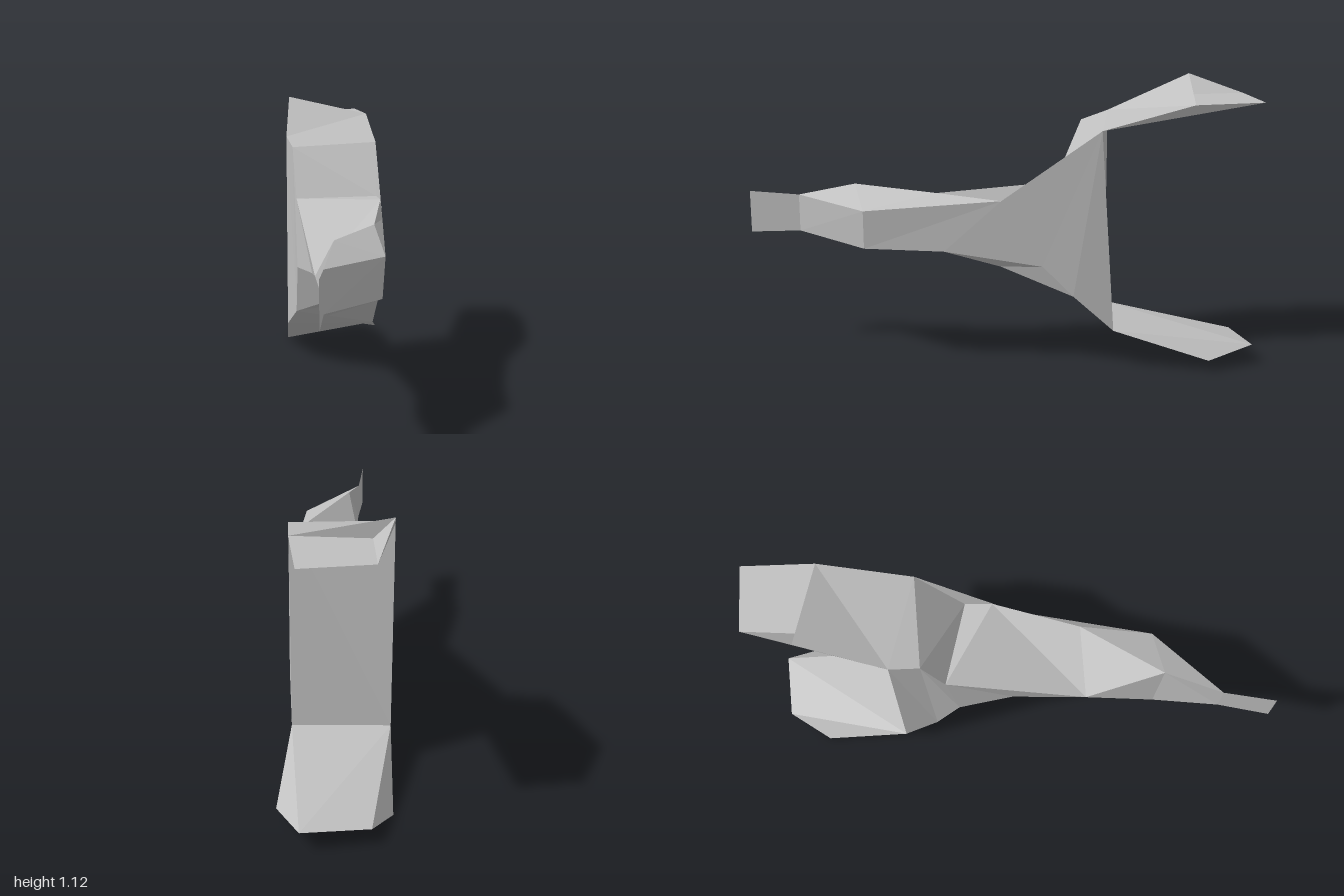
import * as THREE from 'three';

// Named corners of the faceted form: upper case = upper, lower case = lower; L = -x side, R = +x side
const P = {
  // back panel corners
  CL: [-.215, .97, -.45], CR: [.157, .95, -.38], cl: [-.215, .155, -.455], cr: [.155, .155, -.44],
  // -x side, back to front
  L0: [-.195, .935, -.34], L1: [-.185, .73, -.26], L2: [-.15, .515, .28], L3: [-.105, .7, .57],
  l0: [-.185, .24, -.32], l1: [-.185, .45, -.22], l2: [-.14, .467, -.01], l3: [-.125, .43, .55],
  // +x side, back to front; V is the raised lip beside the notch R1
  R1: [.138, .745, -.2], V: [.142, .745, -.095], R2: [.075, .7, .245], S1: [.138, .68, 0], S3: [.08, .632, .53],
  r0: [.16, .3, -.28], r1: [.15, .42, -.16], r2: [.11, .475, .22], r3: [.07, .48, .53], k: [.105, .41, 0],
  // front blade
  T: [-.16, .645, .8], t: [-.16, .495, .8], N: [-.19, .655, 1], n: [-.19, .485, 1],
  // upper fin
  ML: [-.185, 1.12, -.77], MR: [.157, 1.045, -.73], G: [-.115, 1.045, -.76],
  EL: [-.115, 1.05, -.975], ER: [.137, 1.05, -1],
  // lower fin
  ml: [-.2, 0, -.8], mr: [.213, .045, -.81], el: [-.113, .064, -.965], er: [.135, .08, -1],
};

const grey = new THREE.MeshStandardMaterial({ color: 0xc0c0c0, flatShading: true, side: THREE.DoubleSide });
grey.name = 'plain grey';

// Flat facets from space-separated corner names, each facet fanned from its first corner
function facets(name, list) {
  const pos = [];
  for (const face of list) {
    const c = face.split(' ').map((id) => P[id]);
    for (let i = 1; i < c.length - 1; i++) pos.push(...c[0], ...c[i], ...c[i + 1]);
  }
  const geo = new THREE.BufferGeometry();
  geo.setAttribute('position', new THREE.Float32BufferAttribute(pos, 3));
  geo.computeVertexNormals();
  const mesh = new THREE.Mesh(geo, grey);
  mesh.name = name;
  return mesh;
}

export function createModel() {
  const model = new THREE.Group();
  model.name = 'facetedTail';
  model.add(
    facets('backPanel', ['CR cr cl CL']),
    facets('topSurface', ['CL L0 CR', 'L0 L1 R1 CR', 'CR R1 V', 'L1 V R1', 'L1 L2 V', 'L2 R2 V',
      'L2 L3 R2', 'L3 S3 R2', 'L3 T S3']),
    facets('rightSide', ['CL cl l0 L0', 'L0 l0 l1 L1', 'L1 l1 l2 L2', 'L2 l3 L3', 'L3 l3 t T']),
    facets('leftSide', ['R2 S3 S1 V', 'CR V S1', 'S1 S3 r3 r2', 'S1 r2 r1', 'CR S1 r1', 'CR r1 r0 cr', 'S3 T t r3']),
    facets('underside', ['t l3 r3', 'r3 l3 r2', 'r2 l3 L2', 'r2 L2 k', 'k L2 l2', 'r2 k r1', 'k r0 r1',
      'k l2 l1', 'k l1 l0', 'k l0 r0', 'l0 cl cr r0']),
    facets('frontBlade', ['T t n N']),
    facets('upperFin', ['CL CR MR ML', 'ML MR G', 'ML G EL', 'G MR ER EL', 'CL ML EL', 'CR ER MR', 'CL EL ER CR']),
    facets('lowerFin', ['cr mr er', 'cl cr er el', 'cl el ml', 'cr cl ml el mr', 'el er mr']),
  );
  return model;
}
